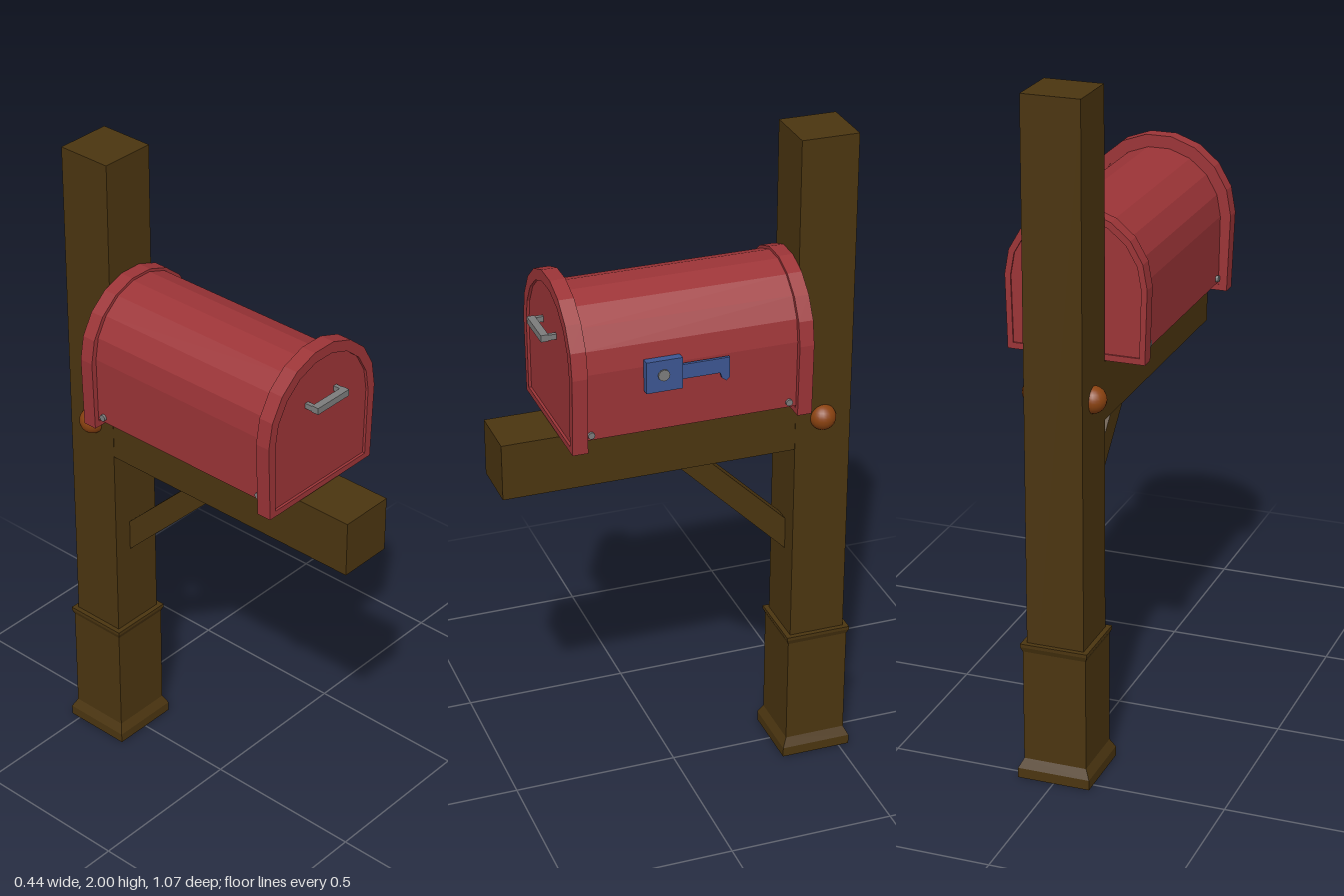
import * as THREE from 'three';

const mat = (name, color, extra = {}) => {
  const m = new THREE.MeshStandardMaterial({ color });
  m.name = name;
  return Object.assign(m, extra);
};

export function createModel() {
  const flat = { flatShading: true };
  const wood = mat('brown wood', 0x4b3510, flat);
  const red = mat('red metal', 0x9c3437, flat);
  const blue = mat('blue flag', 0x3c5692, flat);
  const grey = mat('grey metal', 0x7c7c7c, flat);
  const copper = mat('copper bolt', 0x8a4210);

  const model = new THREE.Group();
  const add = (name, geometry, material, x = 0, y = 0, z = 0) => {
    const mesh = new THREE.Mesh(geometry, material);
    mesh.name = name;
    mesh.position.set(x, y, z);
    model.add(mesh);
    return mesh;
  };
  // Box given by its two extreme corners
  const box = (name, material, [x0, y0, z0], [x1, y1, z1]) =>
    add(name, new THREE.BoxGeometry(x1 - x0, y1 - y0, z1 - z0), material,
      (x0 + x1) / 2, (y0 + y1) / 2, (z0 + z1) / 2);
  const extrude = (shape, depth) =>
    new THREE.ExtrudeGeometry(shape, { depth, bevelEnabled: false });
  // Side outline of (z, y) points, extruded between two x values
  const sidePlate = (name, material, points, x0, x1) => {
    const shape = new THREE.Shape(points.map(([z, y]) => new THREE.Vector2(z, y)));
    add(name, extrude(shape, x1 - x0).rotateY(-Math.PI / 2), material, x1);
  };
  // Faceted arch with nearly upright walls
  const archPoints = (r, cy, bottom, foot) => {
    const pts = [new THREE.Vector2(-foot, bottom), new THREE.Vector2(foot, bottom)];
    for (let i = 0; i <= 9; i++) {
      const a = (i * Math.PI) / 9;
      pts.push(new THREE.Vector2(r * Math.cos(a), cy + r * Math.sin(a)));
    }
    return pts;
  };
  const arch = (name, points, z0, z1, hole) => {
    const shape = new THREE.Shape(points);
    if (hole) shape.holes.push(new THREE.Path(hole));
    add(name, extrude(shape, z1 - z0), red, 0, 0, z0);
  };

  // Post, beam and brace
  box('post', wood, [-0.085, 0, -0.51], [0.085, 2, -0.34]);
  box('beam', wood, [-0.084, 1.05, -0.345], [0.084, 1.22, 0.535]);
  sidePlate('brace', wood,
    [[0.02, 1.05], [-0.34, 0.69], [-0.34, 0.79], [-0.075, 1.05]], -0.026, 0.026);

  // Square sleeve round the foot of the post
  const sleeveProfile = [[0, 0], [0.108, 0], [0.108, 0.03], [0.094, 0.058], [0.094, 0.395],
    [0.1, 0.41], [0.1, 0.42], [0.084, 0.42]]
    .map(([r, y]) => new THREE.Vector2(r * Math.SQRT2, y));
  add('postSleeve', new THREE.LatheGeometry(sleeveProfile, 4, Math.PI / 4), wood, 0, 0, -0.425);

  // Box with a raised rim at each end
  arch('boxBody', archPoints(0.19, 1.45, 1.25, 0.187), -0.31, 0.335);
  const doorEdge = archPoints(0.195, 1.45, 1.243, 0.19);
  arch('frontRim', archPoints(0.222, 1.456, 1.225, 0.213), 0.325, 0.37, doorEdge);
  arch('door', doorEdge, 0.328, 0.362);
  const backEdge = archPoints(0.19, 1.438, 1.243, 0.185);
  arch('backRim', archPoints(0.207, 1.441, 1.225, 0.201), -0.34, -0.297, backEdge);
  arch('backPanel', backEdge, -0.335, -0.3);

  // Door handle
  box('handleBar', grey, [-0.065, 1.508, 0.385], [0.065, 1.528, 0.407]);
  for (const s of [-1, 1]) {
    box('handleArm', grey, [s * 0.059 - 0.006, 1.51, 0.355], [s * 0.059 + 0.006, 1.526, 0.39]);
  }

  // Signal flag on the left side
  box('flagPad', blue, [0.188, 1.377, 0.05], [0.212, 1.471, 0.155]);
  sidePlate('flagArm', blue,
    [[0.055, 1.402], [0.055, 1.446], [-0.09, 1.446], [-0.09, 1.385], [-0.08, 1.376],
      [-0.068, 1.385], [-0.062, 1.402]], 0.197, 0.206);
  const disc = (name, r, depth, x, y, z) =>
    add(name, new THREE.CylinderGeometry(r, r, depth, 12).rotateZ(Math.PI / 2), grey, x, y, z);
  disc('flagRivet', 0.017, 0.012, 0.211, 1.427, 0.105);

  // Corner rivets and beam bolts on both sides
  for (const s of [-1, 1]) {
    for (const z of [0.308, -0.275]) disc('cornerRivet', 0.01, 0.014, s * 0.188, 1.266, z);
    add('beamBolt', new THREE.SphereGeometry(0.039, 20, 14), copper, s * 0.083, 1.142, -0.425);
  }
  return model;
}
